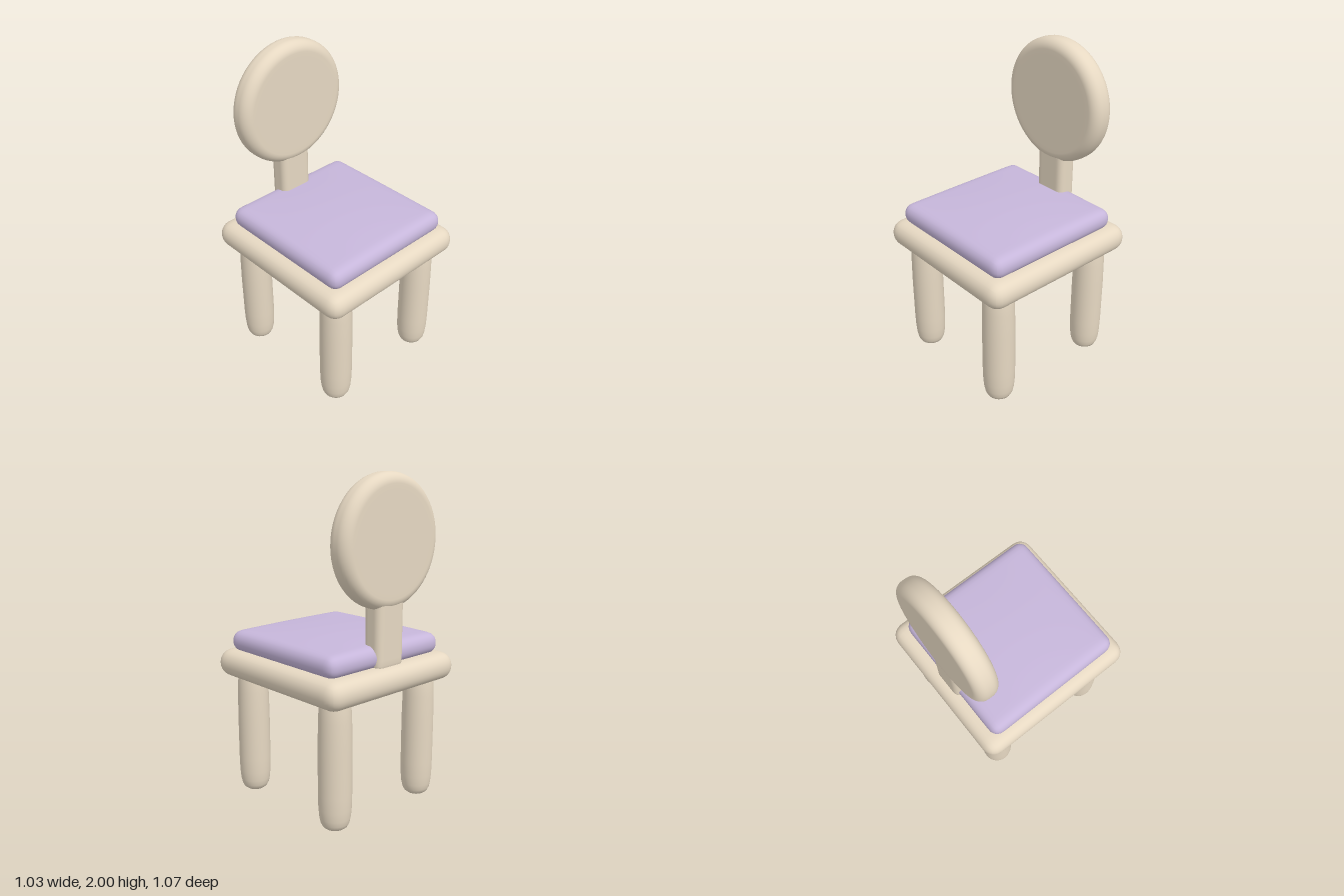
import * as THREE from 'three';
import { mergeVertices } from 'three/addons/utils/BufferGeometryUtils.js';

const frameMat = new THREE.MeshStandardMaterial({ color: 0xe6d8c2 });
const cushionMat = new THREE.MeshStandardMaterial({ color: 0xc6b6da });

// Box with fully rounded edges; crown domes the upper face
function softBox(w, h, d, r, crown = 0) {
  const geo = new THREE.BoxGeometry(w, h, d, 28, 16, 28);
  geo.deleteAttribute('uv');
  geo.deleteAttribute('normal');
  const half = new THREE.Vector3(w / 2, h / 2, d / 2);
  const core = half.clone().subScalar(r);
  const pos = geo.attributes.position;
  const p = new THREE.Vector3(), q = new THREE.Vector3();
  for (let i = 0; i < pos.count; i++) {
    p.fromBufferAttribute(pos, i);
    // gather the grid lines near the edges, then round them off
    for (const a of ['x', 'y', 'z']) p[a] = half[a] * Math.sin((p[a] / half[a]) * Math.PI / 2);
    q.copy(p).clamp(core.clone().negate(), core);
    p.sub(q).setLength(r).add(q);
    if (p.y > 0) {
      const u = p.x / half.x, v = p.z / half.z;
      p.y += crown * (1 - u * u) * (1 - v * v) * p.y / half.y;
    }
    pos.setXYZ(i, p.x, p.y, p.z);
  }
  const merged = mergeVertices(geo, 1e-5);
  merged.computeVertexNormals();
  return merged;
}

function lathe(points, segments) {
  return new THREE.LatheGeometry(points.map(([x, y]) => new THREE.Vector2(x, y)), segments);
}

export function createModel() {
  const model = new THREE.Group();
  const add = (name, geo, mat, x, y, z) => {
    const mesh = new THREE.Mesh(geo, mat);
    mesh.name = name;
    mesh.position.set(x, y, z);
    model.add(mesh);
    return mesh;
  };

  // Seat slab and cushion
  add('seat', softBox(1.03, 0.17, 1.07, 0.083), frameMat, 0, 0.835, 0);
  add('cushion', softBox(0.9, 0.13, 0.92, 0.062, 0.02), cushionMat, 0, 0.972, 0.01);

  // Four round legs with soft feet
  const legGeo = lathe([
    [0, 0], [0.035, 0.001], [0.055, 0.006], [0.073, 0.02], [0.084, 0.042], [0.091, 0.075],
    [0.096, 0.13], [0.098, 0.22], [0.098, 0.5], [0.095, 0.66], [0.09, 0.76], [0.08, 0.8], [0, 0.81],
  ], 32);
  for (const [sx, side] of [[1, 'Left'], [-1, 'Right']])
    for (const [sz, end] of [[1, 'front'], [-1, 'back']])
      add(`${end}${side}Leg`, legGeo, frameMat, sx * 0.35, 0, sz * 0.373);

  // Post joining the seat to the backrest
  add('backPost', softBox(0.215, 0.48, 0.13, 0.04), frameMat, 0, 1.13, -0.405);

  // Round backrest with a soft rim
  const R = 0.38, T = 0.075, e = 0.062;
  const profile = [[0, -T], [R - e - 0.03, -T]];
  for (let i = 0; i <= 8; i++) {
    const a = -Math.PI / 2 + (i / 8) * Math.PI / 2;
    profile.push([R - e + e * Math.cos(a), -T + e + e * Math.sin(a)]);
  }
  const rim = profile.concat(profile.slice().reverse().map(([x, y]) => [x, -y]));
  const back = add('backrest', lathe(rim, 64), frameMat, 0, 1.62, -0.405);
  back.rotation.x = Math.PI / 2;

  return model;
}
